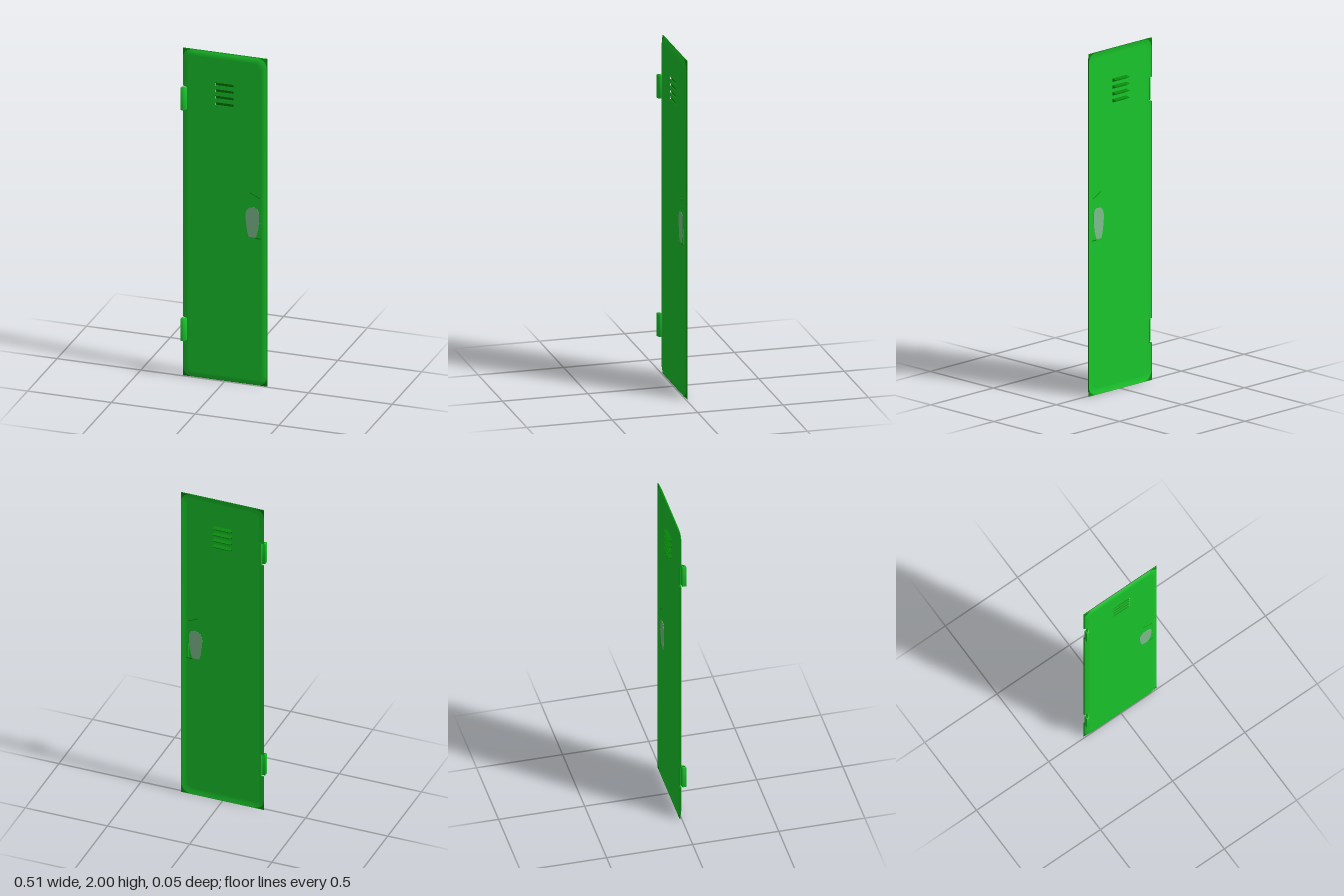
import * as THREE from 'three';
import { toCreasedNormals } from 'three/addons/utils/BufferGeometryUtils.js';

const W = 0.252, H = 1; // half width and half height of the door
const HINGES = [[1.63, 1.77], [0.22, 0.36]];
const SLOTS = [1.81, 1.77, 1.73, 1.69];

// Rounded rectangle loop, stepping in around the hinge cut-outs
function ring(inset, r) {
  const pts = [], w = W - inset, h = H - inset, n = 8;
  [[1, -1], [1, 1], [-1, 1], [-1, -1]].forEach(([sx, sy], q) => {
    if (q === 3) {
      for (const [lo, hi] of HINGES) {
        pts.push([-w, hi + 0.001], [Math.max(-w, -0.232), hi], [Math.max(-w, -0.232), lo], [-w, lo - 0.001]);
      }
    }
    for (let i = 0; i <= n; i++) {
      const a = (q - 1 + i / n) * Math.PI / 2;
      pts.push([sx * (w - r) + r * Math.cos(a), 1 + sy * (h - r) + r * Math.sin(a)]);
    }
  });
  return pts;
}

// Pressed rim: loops run from the front field round the edge to the back field
function rimGeometry() {
  const loops = [
    [0.035, 0.04, 0.004], [0.03, 0.045, 0.004], [0.012, 0.05, 0.001], [0.002, 0.055, -0.004], [0, 0.001, -0.008],
    [0, 0.001, -0.012], [0.002, 0.055, -0.010], [0.012, 0.05, -0.008], [0.03, 0.045, -0.005], [0.035, 0.04, -0.005],
  ];
  const pos = [], index = [];
  const g = new THREE.BufferGeometry();
  let n = 0;
  for (const [inset, r, z] of loops) {
    const pts = ring(inset, r);
    n = pts.length;
    pts.forEach(([x, y]) => pos.push(x, y, z));
  }
  for (let k = 0; k < loops.length - 1; k++) {
    // the outermost bands, with the corner webs, take the second material
    g.addGroup(index.length, n * 6, k >= 3 && k <= 5 ? 1 : 0);
    for (let i = 0; i < n; i++) {
      const j = (i + 1) % n, a = k * n, b = a + n;
      index.push(a + i, b + i, b + j, a + i, b + j, a + j);
    }
  }
  g.setAttribute('position', new THREE.Float32BufferAttribute(pos, 3));
  g.setIndex(index);
  return toCreasedNormals(g, 0.3);
}

// Flat field with the vent slots cut out
function fieldGeometry() {
  const shape = new THREE.Shape(ring(0.035, 0.04).map(([x, y]) => new THREE.Vector2(x, y)));
  for (const y of SLOTS) {
    const hole = new THREE.Path();
    hole.moveTo(-0.055, y - 0.009).lineTo(-0.055, y + 0.009).lineTo(0.055, y + 0.009).lineTo(0.055, y - 0.009);
    hole.closePath();
    shape.holes.push(hole);
  }
  return new THREE.ShapeGeometry(shape);
}

export function createModel() {
  const group = new THREE.Group();
  const material = (name, color) => {
    const m = new THREE.MeshStandardMaterial({ color });
    m.name = name;
    return m;
  };
  const green = material('green paint', 0x1ac72c);
  const darkGreen = material('dark green', 0x088a0c);
  const grey = material('worn grey green', 0x80bf8e);

  const add = (name, geometry, mat = green) => {
    const mesh = new THREE.Mesh(geometry, mat);
    mesh.name = name;
    group.add(mesh);
    return mesh;
  };

  // Door sheet
  add('doorRim', rimGeometry(), [green, darkGreen]);
  add('doorFront', fieldGeometry()).position.z = 0.004;
  const back = add('doorBack', fieldGeometry());
  back.rotation.y = Math.PI;
  back.position.z = -0.005;

  // Vent louvres: a sloped face and floor close each slot, a fin stands out at the back
  const slat = new THREE.Shape();
  slat.moveTo(-0.004, 0.009).lineTo(0.005, 0.009).lineTo(0.028, 0.003).lineTo(0.028, -0.001);
  slat.lineTo(0.008, -0.003).lineTo(0.0055, -0.012).lineTo(-0.0038, -0.012).lineTo(-0.0038, -0.009);
  slat.lineTo(0.004, -0.009);
  slat.closePath();
  const slatGeo = new THREE.ExtrudeGeometry(slat, { depth: 0.11, bevelEnabled: false });
  slatGeo.translate(0, 0, -0.055).rotateY(Math.PI / 2);
  SLOTS.forEach((y) => { add('ventLouvre', slatGeo, darkGreen).position.y = y; });

  // Curled hinge leaves with dark ends; the profile is drawn as x, -z
  const leaf = new THREE.Shape();
  leaf.moveTo(-0.224, 0.005).lineTo(-0.224, -0.003);
  leaf.bezierCurveTo(-0.229, -0.018, -0.238, -0.027, -0.254, -0.027);
  leaf.lineTo(-0.254, -0.003);
  leaf.quadraticCurveTo(-0.236, -0.003, -0.224, 0.005);
  for (const [lo, hi] of HINGES) {
    const g = new THREE.ExtrudeGeometry(leaf, {
      depth: hi - lo - 0.012, bevelEnabled: true, bevelSize: 0.004, bevelOffset: -0.004,
      bevelThickness: 0.006, bevelSegments: 2, curveSegments: 8,
    });
    g.rotateX(-Math.PI / 2);
    add('hinge', toCreasedNormals(g, 0.6), [darkGreen, green]).position.y = lo + 0.006;
  }

  // Worn handle patch on both faces
  const patch = new THREE.Shape();
  patch.moveTo(0.146, 0.905).lineTo(0.185, 0.905);
  patch.quadraticCurveTo(0.202, 0.94, 0.206, 1.0);
  patch.lineTo(0.206, 1.06).quadraticCurveTo(0.2, 1.085, 0.178, 1.087);
  patch.lineTo(0.152, 1.085).quadraticCurveTo(0.126, 1.07, 0.126, 1.03);
  patch.quadraticCurveTo(0.13, 0.95, 0.146, 0.905);
  const patchGeo = new THREE.ExtrudeGeometry(patch, { depth: 0.0115, bevelEnabled: false });
  add('handlePatch', patchGeo, grey).position.z = -0.0063;

  // Latch lip beside the patch
  const lip = add('latchLip', new THREE.BoxGeometry(0.012, 0.09, 0.012));
  lip.position.set(0.214, 0.95, -0.0005);
  const foot = add('latchFoot', new THREE.BoxGeometry(0.035, 0.006, 0.012), darkGreen);
  foot.position.set(0.203, 0.901, -0.0005);

  // Fine crease above the patch
  const crease = add('crease', new THREE.BoxGeometry(0.07, 0.004, 0.0105), darkGreen);
  crease.position.set(0.18, 1.162, -0.0005);
  crease.rotation.z = -0.45;

  return group;
}
